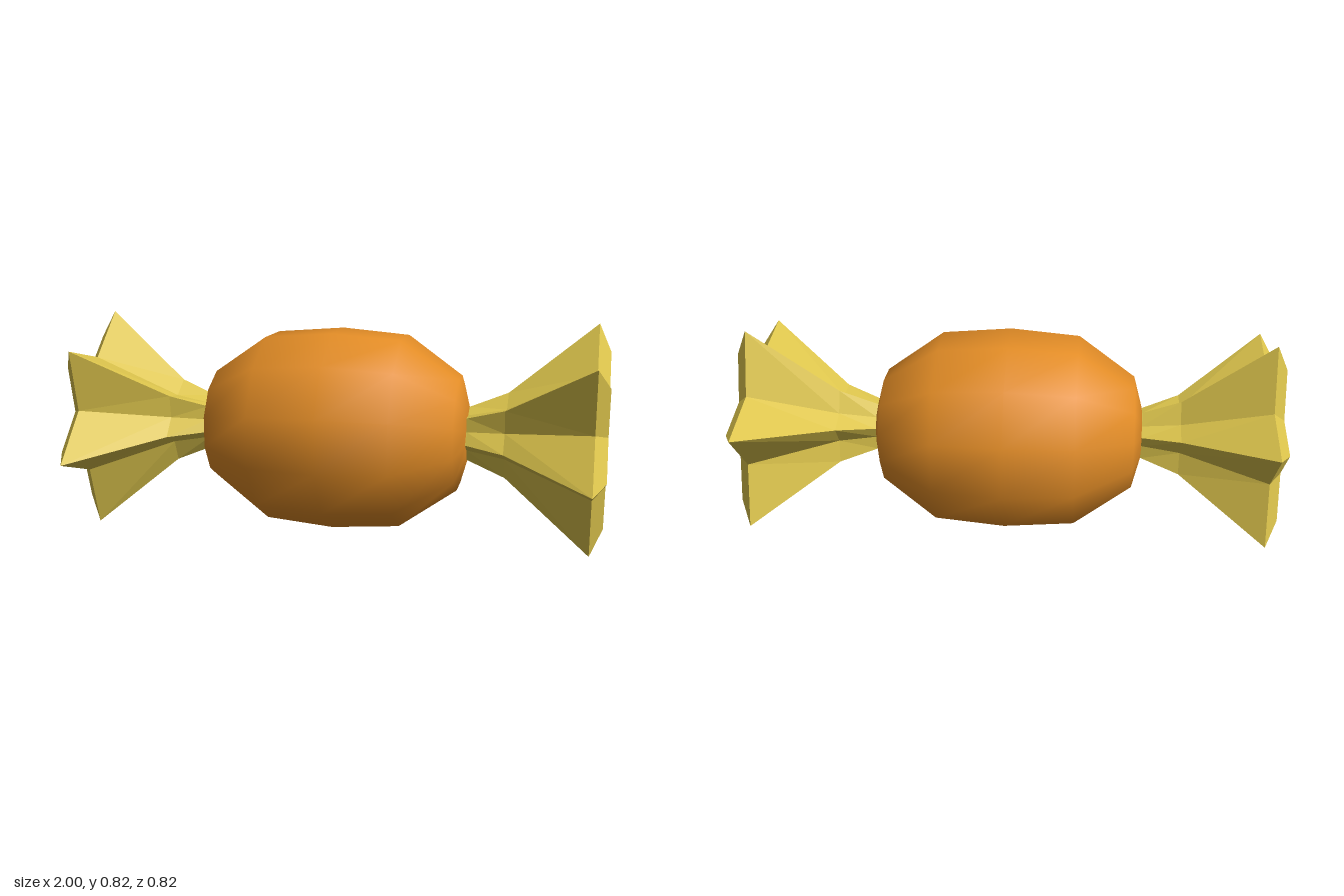
import * as THREE from 'three';

const CENTER_Y = 0.412;
const POINTS = 6;

// Flared, star-shaped wrapper end; side is +1 or -1 along x
function wrapperGeometry(side) {
  // [x, radius at the star points, radius at the folds]
  const rings = [
    [0.47, 0.09, 0.07],
    [0.5, 0.1, 0.075],
    [0.64, 0.158, 0.105],
    [0.955, 0.424, 0.255],
    [1.0, 0.321, 0.193],
    [0.94, 0, 0], // dished centre of the end
  ];
  const n = POINTS * 2;
  const corner = (i, j) => {
    const [x, tip, fold] = rings[i];
    const r = j % 2 ? fold : tip;
    const a = Math.PI / 4 + (j * Math.PI * 2) / n;
    return [side * x, r * Math.sin(a), r * Math.cos(a)];
  };
  const pos = [];
  const tri = (a, b, c) => pos.push(...a, ...(side > 0 ? b : c), ...(side > 0 ? c : b));
  for (let i = 0; i < rings.length - 1; i++) {
    for (let j = 0; j < n; j++) {
      tri(corner(i, j), corner(i + 1, j), corner(i, j + 1));
      if (rings[i + 1][1] > 0) tri(corner(i + 1, j), corner(i + 1, j + 1), corner(i, j + 1));
    }
  }
  const g = new THREE.BufferGeometry();
  g.setAttribute('position', new THREE.Float32BufferAttribute(pos, 3));
  g.computeVertexNormals(); // unshared corners keep the folds faceted
  return g;
}

export function createModel() {
  const orange = new THREE.MeshStandardMaterial({ color: 0xe28c26 });
  orange.name = 'orange candy';
  const gold = new THREE.MeshStandardMaterial({ color: 0xdcc44c });
  gold.name = 'gold wrapper';

  const model = new THREE.Group();
  model.name = 'wrappedCandy';

  // Smooth twelve-sided barrel lying along x
  const half = [[0, 0.5], [0.1, 0.498], [0.215, 0.466], [0.362, 0.256]];
  const profile = [
    ...half.map(([r, x]) => new THREE.Vector2(r, -x)),
    new THREE.Vector2(0.383, 0),
    ...half.slice().reverse().map(([r, x]) => new THREE.Vector2(r, x)),
  ];
  const bodyGeometry = new THREE.LatheGeometry(profile, 12, Math.PI / 12);
  bodyGeometry.rotateZ(-Math.PI / 2);
  const body = new THREE.Mesh(bodyGeometry, orange);
  body.name = 'candyBody';
  body.position.y = CENTER_Y;
  model.add(body);

  // Mirrored twisted ends
  for (const side of [1, -1]) {
    const end = new THREE.Mesh(wrapperGeometry(side), gold);
    end.name = side > 0 ? 'leftWrapperEnd' : 'rightWrapperEnd';
    end.position.y = CENTER_Y;
    model.add(end);
  }
  return model;
}
